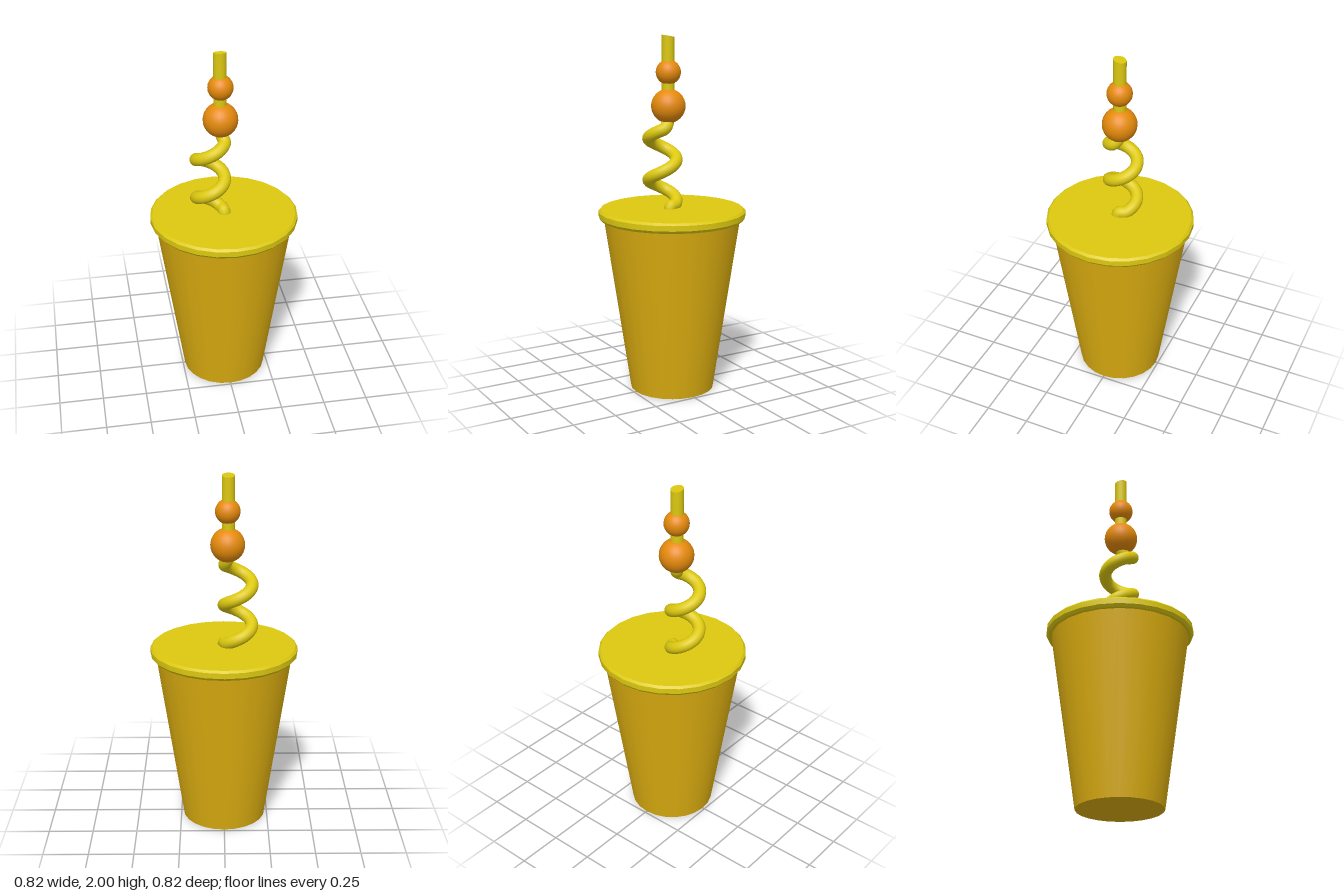
import * as THREE from 'three';
import { toCreasedNormals } from 'three/addons/utils/BufferGeometryUtils.js';

const SIDES = 24;
const TUBE_R = 0.035;

export function createModel() {
  const group = new THREE.Group();
  const cupMat = new THREE.MeshStandardMaterial({ color: 0xdcae10 });
  const lidMat = new THREE.MeshStandardMaterial({ color: 0xdcc810 });
  const beadMat = new THREE.MeshStandardMaterial({ color: 0xe58a0c });

  const add = (name, geometry, material, x = 0, y = 0, z = 0) => {
    const mesh = new THREE.Mesh(geometry, material);
    mesh.name = name;
    mesh.position.set(x, y, z);
    group.add(mesh);
  };

  // Tapered cup
  add('cup', new THREE.CylinderGeometry(0.385, 0.237, 1, SIDES), cupMat, 0, 0.5, 0);

  // Flat lid with bevelled rim
  const lidProfile = [[0, 0.985], [0.4, 0.985], [0.412, 1], [0.412, 1.03], [0.4, 1.042], [0, 1.042]]
    .map(([r, y]) => new THREE.Vector2(r, y));
  add('lid', toCreasedNormals(new THREE.LatheGeometry(lidProfile, SIDES), 0.5), lidMat);

  // Curly lower part of the straw: two turns, then a bend up into the straight part
  const sx = -0.023, sz = 0.012;
  const points = [new THREE.Vector3(0, 1.0, 0.015), new THREE.Vector3(0, 1.05, 0.01)];
  const end = 4 * Math.PI - 0.35;
  for (let i = 0; i <= 24; i++) {
    const t = 0.6 + (end - 0.6) * i / 24;
    points.push(new THREE.Vector3(
      -0.077 + 0.078 * Math.cos(t),
      1.035 + 0.235 * t / (2 * Math.PI),
      0.017 - 0.078 * Math.sin(t)));
  }
  points.push(new THREE.Vector3(sx + 0.008, 1.525, sz + 0.006), new THREE.Vector3(sx, 1.6, sz));
  add('strawSpiral', new THREE.TubeGeometry(new THREE.CatmullRomCurve3(points), 160, TUBE_R, 16), lidMat);

  // Straight upper part of the straw, its end cut at a slight slant
  const straight = new THREE.CylinderGeometry(TUBE_R, TUBE_R, 0.43, 16);
  const pos = straight.attributes.position;
  for (let i = 0; i < pos.count; i++) {
    if (pos.getY(i) > 0) pos.setY(i, pos.getY(i) + pos.getZ(i) * 0.2);
  }
  add('strawTop', straight, lidMat, sx, 1.778, sz);

  // Beads threaded on the straw
  add('largeBead', new THREE.SphereGeometry(0.095, 24, 16), beadMat, -0.02, 1.613, 0.012);
  add('smallBead', new THREE.SphereGeometry(0.069, 24, 16), beadMat, -0.02, 1.798, 0.012);

  return group;
}
